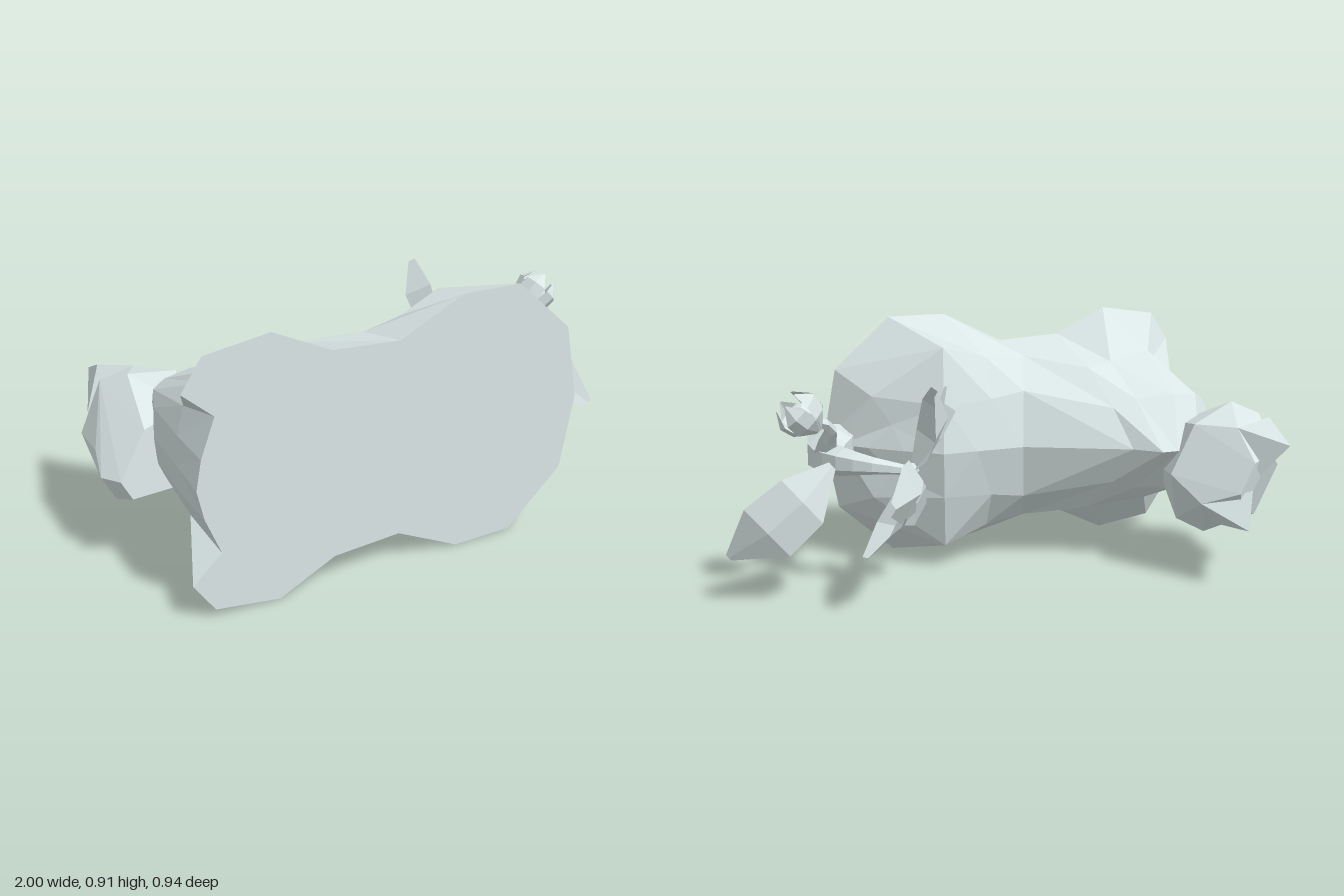
import * as THREE from 'three';
import { ConvexGeometry } from 'three/addons/geometries/ConvexGeometry.js';

const V = (x, y, z) => new THREE.Vector3(x, y, z);
const MID = 0.457; // height of the mirror plane of the body
const stone = new THREE.MeshStandardMaterial({ color: 0xdae6e6, flatShading: true, side: THREE.DoubleSide });
stone.name = 'paleStone';

function part(name, geometry) {
  const mesh = new THREE.Mesh(geometry, stone);
  mesh.name = name;
  return mesh;
}

function fromTriangles(list) {
  const g = new THREE.BufferGeometry().setFromPoints(list);
  g.computeVertexNormals();
  return g;
}

// Half body: each station runs from the flat base up to the spine as [x, side, z].
const stations = [
  [[-0.85, 0, 0.47], [-0.84, 0, 0.28], [-0.83, 0, 0.06], [-0.82, 0, 0.05]],
  [[-0.83, 0.1, 0.47], [-0.83, 0.1, 0.28], [-0.82, 0.1, 0.05], [-0.82, 0, 0.05]],
  [[-0.78, 0.23, 0.47], [-0.8, 0.19, 0.27], [-0.8, 0.14, 0], [-0.8, 0, -0.05]],
  [[-0.88, 0.32, 0.47], [-0.74, 0.27, 0.31], [-0.76, 0.17, 0], [-0.7, 0, -0.14]],
  [[-0.81, 0.425, 0.47], [-0.71, 0.3, 0.3], [-0.66, 0.18, -0.02], [-0.6, 0, -0.17]],
  [[-0.59, 0.457, 0.47], [-0.5, 0.28, 0.2], [-0.51, 0.17, 0], [-0.54, 0, -0.17]],
  [[-0.39, 0.36, 0.47], [-0.38, 0.27, 0.14], [-0.42, 0.14, 0], [-0.46, 0, -0.09]],
  [[-0.15, 0.345, 0.47], [-0.17, 0.31, 0.27], [-0.12, 0.2, 0.14], [-0.1, 0, 0.09]],
  [[0.08, 0.457, 0.47], [0.0, 0.32, 0.22], [0.01, 0.18, 0.13], [0.08, 0, 0.085]],
  [[0.3, 0.455, 0.47], [0.18, 0.37, 0.17], [0.2, 0.17, 0.11], [0.21, 0, 0.08]],
  [[0.51, 0.265, 0.47], [0.42, 0.19, 0.28], [0.36, 0.09, 0.23], [0.33, 0, 0.18]],
  [[0.56, 0, 0.47], [0.52, 0, 0.37], [0.44, 0, 0.28], [0.42, 0, 0.27]],
];

function bodyGeometry() {
  const tris = [];
  for (const side of [1, -1]) {
    const p = (i, j) => V(stations[i][j][0], MID + side * stations[i][j][1], stations[i][j][2]);
    const tri = (a, b, c) => tris.push(...(side > 0 ? [a, b, c] : [a, c, b]));
    for (let i = 0; i < stations.length - 1; i++) {
      for (let j = 0; j < 3; j++) {
        tri(p(i, j), p(i + 1, j), p(i, j + 1));
        tri(p(i + 1, j), p(i + 1, j + 1), p(i, j + 1));
      }
      tri(V(-0.1, MID, 0.47), p(i + 1, 0), p(i, 0)); // flat base
    }
  }
  return fromTriangles(tris);
}

// Head frame: f forward, l sideways, turned away from the body axis.
const headPoint = (f, l, z) => V(-0.78 - 0.89 * f - 0.45 * l, 0.38 - 0.45 * f + 0.89 * l, z);
const mirrored = (rows) => rows.flatMap(([f, l, z]) => [headPoint(f, l, z), headPoint(f, -l, z)]);

// Tube whose radius follows a list of radii along its path.
function taperedTube(points, radii, segments, sides) {
  const curve = new THREE.CatmullRomCurve3(points);
  const g = new THREE.TubeGeometry(curve, segments, 1, sides);
  const pos = g.attributes.position;
  for (let i = 0; i <= segments; i++) {
    const t = (i / segments) * (radii.length - 1);
    const k = Math.min(Math.floor(t), radii.length - 2);
    const r = THREE.MathUtils.lerp(radii[k], radii[k + 1], t - k);
    const c = curve.getPointAt(i / segments);
    for (let j = 0; j <= sides; j++) {
      const n = i * (sides + 1) + j;
      const v = new THREE.Vector3().fromBufferAttribute(pos, n).sub(c).multiplyScalar(r).add(c);
      pos.setXYZ(n, v.x, v.y, v.z);
    }
  }
  g.computeVertexNormals();
  return g;
}

// Folded blade from base to tip; lift bows the middle, fold creases it lengthwise.
function blade(base, tip, facing, halfWidth, lift, fold, widths = [0.15, 0.8, 1, 0.25]) {
  const across = tip.clone().sub(base).cross(facing).normalize();
  const rows = widths.map((w, i) => {
    const t = i / (widths.length - 1);
    const c = base.clone().lerp(tip, t).addScaledVector(facing, lift * Math.sin(Math.PI * t));
    return [-1, 0, 1].map((s) => c.clone()
      .addScaledVector(across, s * w * halfWidth)
      .addScaledVector(facing, s === 0 ? fold * w : 0));
  });
  const tris = [];
  for (let i = 0; i < rows.length - 1; i++) {
    for (let j = 0; j < 2; j++) {
      const [a, b, c, d] = [rows[i][j], rows[i][j + 1], rows[i + 1][j], rows[i + 1][j + 1]];
      tris.push(a, b, c, b, d, c);
    }
  }
  return fromTriangles(tris);
}

export function createModel() {
  const model = new THREE.Group();
  model.name = 'recliningAnimal';
  model.add(part('body', bodyGeometry()));

  // Head with muzzle, cheeks and crown
  const head = new THREE.Group();
  head.name = 'head';
  head.add(part('skull', new ConvexGeometry(mirrored([
    [0.22, 0.05, 0.0], [0.18, 0.04, 0.08], [0.18, 0.1, -0.08], [0.18, 0.1, -0.23],
    [0.03, 0.24, -0.2], [-0.05, 0.24, -0.12], [0.02, 0.13, 0.05], [-0.2, 0.1, -0.2],
    [-0.1, 0.15, -0.31], [0.04, 0.12, -0.36], [-0.03, 0.06, -0.4], [-0.14, 0.09, 0.02],
  ]))));
  for (const [s, spread] of [[1, 0.235], [-1, 0.19]]) {
    head.add(part(s > 0 ? 'leftEar' : 'rightEar', new ConvexGeometry([
      headPoint(0.02, s * 0.165, -0.47), headPoint(0.12, s * 0.12, -0.29),
      headPoint(0.0, s * spread, -0.31), headPoint(-0.1, s * 0.15, -0.31),
      headPoint(0.01, s * 0.03, -0.4),
    ])));
  }
  model.add(head);

  // Curling tail and the stem of the bud
  model.add(part('tail', taperedTube([
    V(0.51, 0.456, 0.41), V(0.555, 0.456, 0.34), V(0.605, 0.456, 0.21),
    V(0.585, 0.465, 0.08), V(0.5, 0.465, -0.03), V(0.38, 0.45, -0.08),
  ], [0.07, 0.095, 0.065, 0.05, 0.03, 0.015], 10, 6)));
  model.add(part('budStem', taperedTube([
    V(0.61, 0.47, 0.18), V(0.625, 0.53, 0.11), V(0.63, 0.6, 0.03), V(0.7, 0.63, -0.01),
  ], [0.05, 0.035, 0.02, 0.015], 5, 5)));

  // Five-petalled flower at the tail tip
  const flower = new THREE.Group();
  flower.name = 'flower';
  const heart = V(0.38, 0.45, -0.08);
  [
    [V(0.37, 0.76, -0.31), 0.09], [V(0.54, 0.41, -0.4), 0.1], [V(0.55, 0.15, -0.07), 0.085],
    [V(0.35, 0.21, 0.14), 0.09], [V(0.2, 0.71, 0.08), 0.085],
  ].forEach(([tip, w]) => flower.add(part('petal', blade(heart, tip, V(1, 0, 0), w, -0.015, -0.065))));
  const centre = part('flowerCentre', new THREE.IcosahedronGeometry(0.03, 0));
  centre.position.copy(heart);
  flower.add(centre);
  model.add(flower);

  // Half-open bud: a core inside a cup of small petals
  const bud = new THREE.Group();
  bud.name = 'bud';
  bud.add(part('budCore', new THREE.SphereGeometry(0.05, 6, 4)));
  for (let i = 0; i < 5; i++) {
    const a = (i / 5) * Math.PI * 2;
    const out = V(Math.cos(a), 0, Math.sin(a));
    const base = V(0, -0.07, 0).addScaledVector(out, 0.01);
    const tip = V(0, 0.08, 0).addScaledVector(out, 0.045);
    bud.add(part('budPetal', blade(base, tip, out, 0.045, 0.04, 0.016, [0.3, 1, 0.9, 0.1])));
  }
  bud.position.set(0.73, 0.65, -0.02);
  bud.rotation.z = -0.8;
  model.add(bud);

  // Broad leaf beside the tail
  model.add(part('leaf', blade(
    V(0.63, 0.465, 0.02), V(0.99, 0.168, 0.05), V(0, 0, 1), 0.115, -0.09, -0.01, [0.15, 0.92, 1, 0.12])));
  return model;
}
